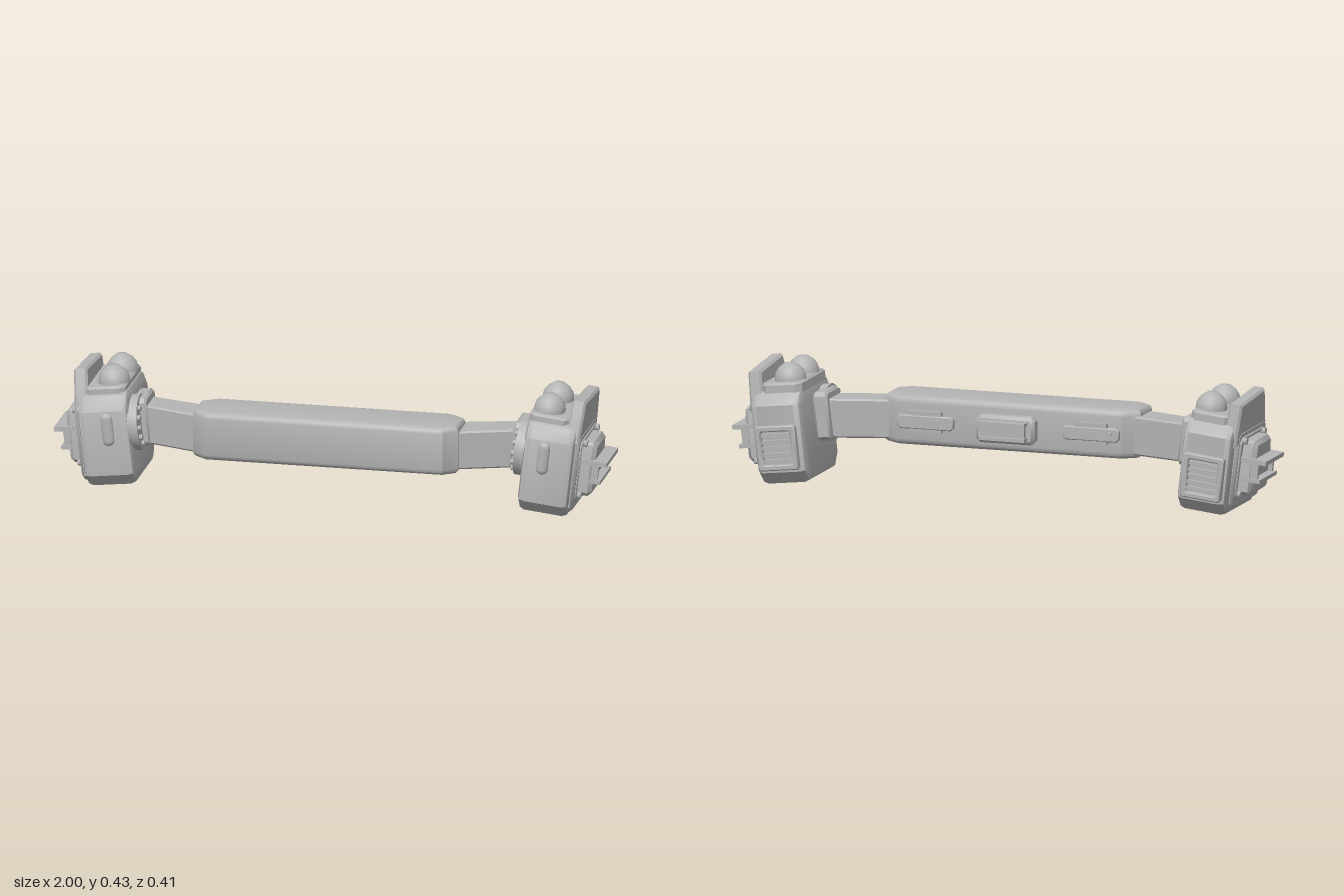
import * as THREE from 'three';
import { toCreasedNormals } from 'three/addons/utils/BufferGeometryUtils.js';

const grey = new THREE.MeshStandardMaterial({ color: 0xb4b4b4 });
grey.name = 'plain grey';

function add(parent, name, geometry, x = 0, y = 0, z = 0) {
  const mesh = new THREE.Mesh(geometry, grey);
  mesh.name = name;
  mesh.position.set(x, y, z);
  parent.add(mesh);
  return mesh;
}

const box = (w, h, d) => new THREE.BoxGeometry(w, h, d);

// Bevelled prism, centred along its depth; outer size follows the points
function prism(points, depth, bevel, segments = 1, hole = null) {
  const shape = new THREE.Shape(points.map(p => new THREE.Vector2(...p)));
  if (hole) shape.holes.push(new THREE.Path(hole.map(p => new THREE.Vector2(...p))));
  const g = new THREE.ExtrudeGeometry(shape, {
    depth: depth - 2 * bevel, bevelEnabled: bevel > 0, bevelSize: bevel,
    bevelThickness: bevel, bevelOffset: -bevel, bevelSegments: segments,
  });
  g.translate(0, 0, bevel - depth / 2);
  return toCreasedNormals(g, 0.6);
}
// Points are (z, y), depth runs along x
const prismX = (...args) => prism(...args).rotateY(-Math.PI / 2);
// Points are (x, z), depth runs along y
const prismY = (...args) => prism(...args).rotateX(Math.PI / 2);

// Rectangle with cut corners
function cutRect(x0, x1, y0, y1, c) {
  return [[x0 + c, y0], [x1 - c, y0], [x1, y0 + c], [x1, y1 - c],
    [x1 - c, y1], [x0 + c, y1], [x0, y1 - c], [x0, y0 + c]];
}

function buildBar(root) {
  const bar = new THREE.Group();
  bar.name = 'centreBar';
  root.add(bar);
  add(bar, 'barBody', prismY([[-0.48, 0.045], [-0.42, 0.005], [0.42, 0.005], [0.48, 0.045],
    [0.48, 0.165], [0.43, 0.203], [-0.43, 0.203], [-0.48, 0.165]], 0.177, 0.022, 3), 0, 0.233, 0);

  // Centre clip on the back
  add(bar, 'clipBase', prism(cutRect(-0.11, 0.11, -0.05, 0.05, 0.015), 0.05, 0.012), 0, 0.232, -0.02);
  add(bar, 'clipBlock', box(0.16, 0.055, 0.03), 0, 0.232, -0.05);
  for (const y of [0.205, 0.259]) add(bar, 'clipRail', box(0.17, 0.012, 0.035), 0, y, -0.062);

  // Low side latches on the back
  for (const s of [-1, 1]) {
    add(bar, 'latchStrip', prism(cutRect(-0.105, 0.105, -0.025, 0.025, 0.01), 0.024, 0.004), s * 0.31, 0.232, 0.002);
    add(bar, 'latchTab', box(0.12, 0.075, 0.018), s * 0.31, 0.235, 0.002);
    add(bar, 'latchRidge', box(0.16, 0.014, 0.03), s * 0.31, 0.236, 0.002);
  }
}

function buildArm(root, s) {
  const outline = [[0.45, 0.033], [0.72, -0.042], [0.72, 0.07], [0.45, 0.162]].map(([x, z]) => [s * x, z]);
  add(root, 'arm', prismY(outline, 0.14, 0.006), 0, 0.228, 0);
}

function buildPod(root, s) {
  const pod = new THREE.Group();
  pod.name = s > 0 ? 'leftPod' : 'rightPod';
  pod.position.set(s * 0.8, 0.18, 0);
  pod.rotation.z = -s * 0.113;
  root.add(pod);
  const put = (name, g, x, y, z) => add(pod, name, g, s * x, y, z);

  // Main housing
  put('podBody', prismX([[0.172, -0.125], [0.172, 0.11], [0.14, 0.158], [0.11, 0.172], [-0.13, 0.172],
    [-0.16, 0.155], [-0.19, 0.115], [-0.19, -0.125], [-0.147, -0.17], [0.13, -0.17]], 0.185, 0.024, 2), -0.003, 0, 0);

  // Dome platform and two domes
  put('domePlatform', prismY(cutRect(-0.08, 0.07, -0.16, 0.13, 0.02), 0.05, 0.008), -0.015, 0.165, 0);
  const profile = [[0.056, 0], [0.056, 0.012], [0.052, 0.03], [0.04, 0.047], [0.02, 0.062], [0, 0.064]]
    .map(p => new THREE.Vector2(...p));
  for (const z of [-0.08, 0.058]) put('dome', new THREE.LatheGeometry(profile, 24), -0.034, 0.186, z);

  // Upright shield and outer panel
  put('shield', prismX([[0.15, 0.08], [0.145, 0.125], [0.097, 0.253], [-0.147, 0.235], [-0.162, 0.125], [-0.165, 0.08]],
    0.05, 0.008), 0.075, 0, 0);
  put('outerPanel', prismX(cutRect(-0.147, 0.15, -0.148, 0.135, 0.02), 0.03, 0.01), 0.087, 0, 0);
  put('panelFrame', prismX(cutRect(-0.13, 0.125, -0.118, 0.112, 0.02), 0.012, 0.003, 1,
    cutRect(-0.117, 0.112, -0.105, 0.099, 0.016)), 0.102, 0, 0);

  // Panel screws
  for (const [z, y] of [[0.092, 0.1], [-0.106, 0.1], [0.1, -0.092], [-0.115, -0.092]]) {
    put('screw', new THREE.CylinderGeometry(0.012, 0.012, 0.022, 6).rotateZ(Math.PI / 2), 0.11, y, z);
  }
  // Small rivets along the front edge of the panel
  for (let i = 0; i < 9; i++) put('rivet', box(0.008, 0.005, 0.005), 0.101, -0.07 + i * 0.018, 0.132);

  // Outer grip: tapered block with two shelves
  put('gripBlock', prismX([[0.07, -0.1], [0.087, -0.085], [0.085, 0.03], [0.075, 0.09], [0.065, 0.098],
    [-0.075, 0.098], [-0.085, 0.09], [-0.095, 0.03], [-0.1, -0.085], [-0.085, -0.1]], 0.08, 0.014), 0.112, 0, 0);
  put('upperShelf', box(0.1, 0.016, 0.193), 0.147, 0.03, -0.006);
  put('lowerShelf', box(0.08, 0.014, 0.185), 0.14, -0.04, -0.007);
  for (const z of [0.072, -0.087]) put('gripPost', box(0.06, 0.07, 0.014), 0.138, -0.005, z);

  // Back vent
  put('ventFrame', prism(cutRect(-0.075, 0.075, -0.08, 0.08, 0.006), 0.04, 0.004, 1,
    cutRect(-0.055, 0.055, -0.06, 0.06, 0.004)), 0, -0.035, -0.192);
  for (let i = 0; i < 5; i++) put('ventSlat', box(0.112, 0.012, 0.02), 0, -0.081 + i * 0.023, -0.195);

  // Front marker lamp
  const lamp = put('frontLamp', new THREE.CapsuleGeometry(0.021, 0.078, 6, 16), -0.017, 0.045, 0.172);
  lamp.scale.z = 0.65;

  // Inner mount: round flange, square collar and bolts
  put('mountFlange', toCreasedNormals(new THREE.CylinderGeometry(0.1, 0.1, 0.035, 24).rotateZ(Math.PI / 2), 0.6), -0.107, 0.04, 0.073);
  put('mountCollar', prismX(cutRect(-0.05, 0.1, -0.045, 0.13, 0.015), 0.055, 0.008), -0.122, 0, 0);
  for (const a of [-0.9, -0.45, 0, 0.45, 0.9]) {
    put('mountBolt', new THREE.CylinderGeometry(0.01, 0.01, 0.016, 8).rotateZ(Math.PI / 2),
      -0.128, 0.04 + 0.082 * Math.sin(a), 0.073 + 0.082 * Math.cos(a));
  }
}

export function createModel() {
  const root = new THREE.Group();
  root.name = 'barWithPods';
  buildBar(root);
  for (const s of [-1, 1]) {
    buildArm(root, s);
    buildPod(root, s);
  }
  return root;
}
